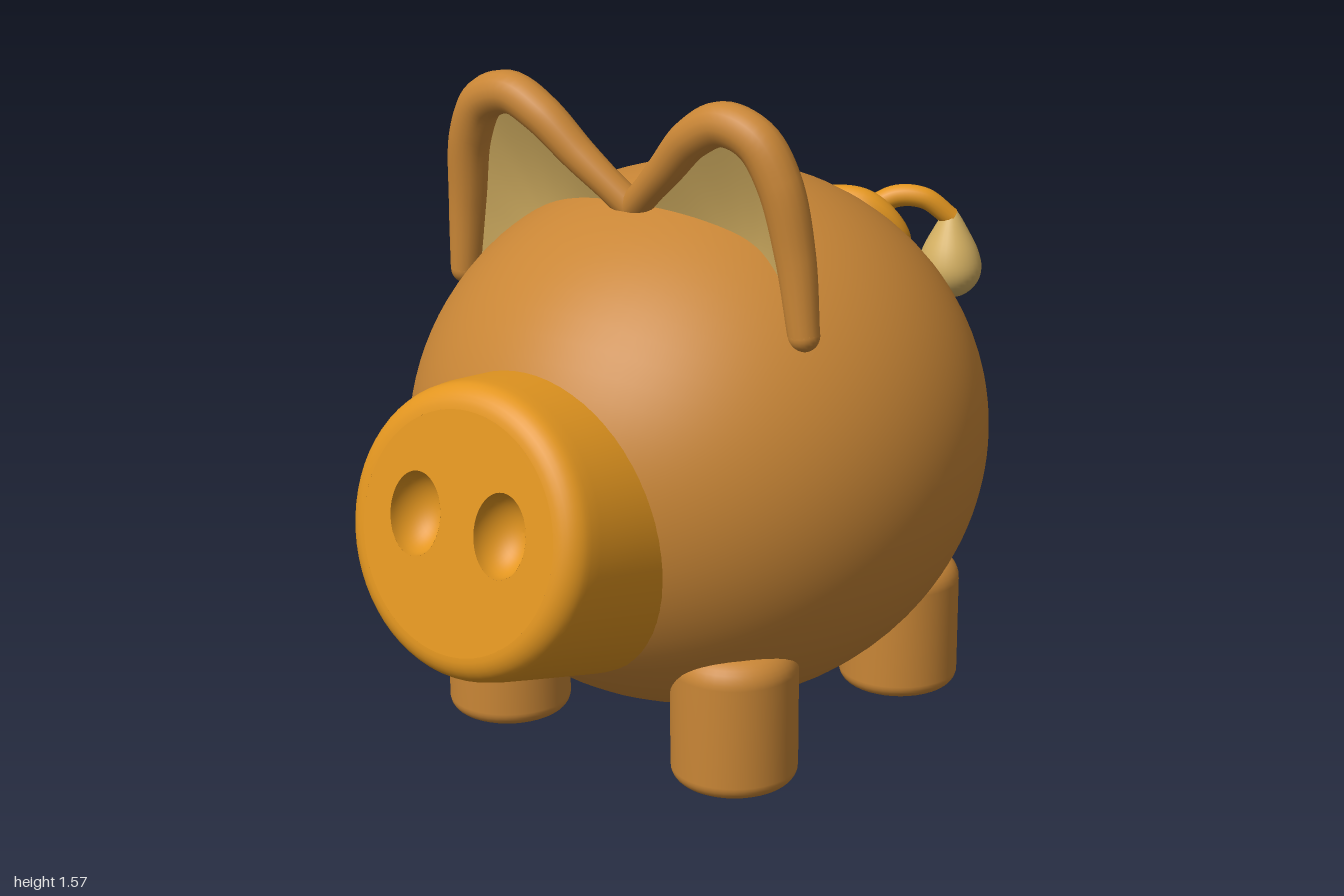
import * as THREE from 'three';

const V = (x, y, z) => new THREE.Vector3(x, y, z);
const P = (x, y) => new THREE.Vector2(x, y);
const mat = (name, color) => new THREE.MeshStandardMaterial({ name, color, side: THREE.DoubleSide });

function add(parent, name, geometry, material, x = 0, y = 0, z = 0) {
  const mesh = new THREE.Mesh(geometry, material);
  mesh.name = name;
  mesh.position.set(x, y, z);
  parent.add(mesh);
  return mesh;
}

// Points of a quarter-style arc, used to round lathe profiles
function arc(cx, cy, r, from, to, n = 8) {
  return Array.from({ length: n + 1 }, (_, i) => {
    const a = from + (to - from) * i / n;
    return P(Math.max(0, cx + r * Math.cos(a)), cy + r * Math.sin(a));
  });
}

// Tube whose radius follows a function of its length
function taperedTube(curve, segments, radius, sides = 16) {
  const geo = new THREE.TubeGeometry(curve, segments, 1, sides, false);
  const pos = geo.attributes.position, p = V(0, 0, 0);
  for (let i = 0; i < pos.count; i++) {
    const u = Math.floor(i / (sides + 1)) / segments;
    const c = curve.getPointAt(u);
    p.fromBufferAttribute(pos, i).sub(c).multiplyScalar(radius(u)).add(c);
    pos.setXYZ(i, p.x, p.y, p.z);
  }
  return geo;
}

// Smooth surface from a grid of points given by fn(u, v)
function grid(nu, nv, fn) {
  const geo = new THREE.PlaneGeometry(1, 1, nu, nv);
  const pos = geo.attributes.position;
  for (let i = 0; i < pos.count; i++) {
    const p = fn((i % (nu + 1)) / nu, Math.floor(i / (nu + 1)) / nv);
    pos.setXYZ(i, p.x, p.y, p.z);
  }
  geo.computeVertexNormals();
  return geo;
}

export function createModel() {
  const model = new THREE.Group();
  model.name = 'piggyBank';
  const skin = mat('brown skin', 0xc98636);
  const orange = mat('orange', 0xe39620);
  const tan = mat('tan', 0xd4b062);

  // Body: ellipsoid with its poles on x, so the slot is a gap in the middle band
  const R = V(0.673, 0.645, 0.72), C = V(0, 0.695, 0.07);
  const slotHalf = 0.04;
  const t = Math.acos(slotHalf / R.x);
  const bodyPart = (name, segs, phiLen, rows, t0, tLen) => {
    const geo = new THREE.SphereGeometry(1, segs, rows, 0, phiLen, t0, tLen);
    geo.rotateZ(-Math.PI / 2).scale(R.x, R.y, R.z);
    add(model, name, geo, skin, C.x, C.y, C.z);
  };
  bodyPart('bodyLeft', 72, Math.PI * 2, 28, 0, t);
  bodyPart('bodyRight', 72, Math.PI * 2, 28, Math.PI - t, t);
  bodyPart('bodyMiddle', 66, Math.PI * 11 / 6, 2, t, Math.PI - 2 * t);

  // Coin slot: inward-facing pocket whose top follows the body
  const slot = new THREE.BoxGeometry(slotHalf * 2, 0.1, 0.36, 1, 1, 12);
  slot.translate(0, 0, -0.11);
  const sp = slot.attributes.position;
  for (let i = 0; i < sp.count; i++) {
    const surface = C.y + R.y * Math.sqrt(1 - (slotHalf / R.x) ** 2 - ((sp.getZ(i) - C.z) / R.z) ** 2);
    sp.setY(i, sp.getY(i) > 0 ? surface : surface - 0.08);
  }
  const top = slot.groups[2], idx = Array.from(slot.index.array);
  idx.splice(top.start, top.count);
  slot.setIndex(idx.reverse());
  slot.clearGroups();
  slot.computeVertexNormals();
  add(model, 'coinSlot', slot, skin);

  // Snout: tilted rounded cone with two hollow nostrils
  const snout = new THREE.Group();
  snout.name = 'snout';
  snout.position.set(0, 0.69, 0.948);
  snout.rotation.x = -0.19;
  model.add(snout);
  const side = new THREE.LatheGeometry(
    [P(0.36, -0.4), P(0.343, -0.2), P(0.332, -0.08), ...arc(0.268, -0.06, 0.06, 0.08, Math.PI / 2)], 64);
  add(snout, 'snoutSide', side.rotateX(Math.PI / 2), orange);
  const face = new THREE.Shape().absarc(0, 0, 0.268, 0, Math.PI * 2);
  for (const s of [-1, 1]) {
    face.holes.push(new THREE.Path().absellipse(s * 0.12, 0.02, 0.072, 0.094, 0, Math.PI * 2));
    const bowl = new THREE.LatheGeometry(arc(0, 0, 1, 0, -Math.PI / 2, 12), 40);
    bowl.rotateX(Math.PI / 2).scale(0.072, 0.094, 0.08);
    add(snout, s > 0 ? 'leftNostril' : 'rightNostril', bowl, orange, s * 0.12, 0.02, 0);
  }
  add(snout, 'snoutFace', new THREE.ShapeGeometry(face, 40), orange);

  // Legs
  const leg = new THREE.LatheGeometry([
    P(0, 0.005), P(0.08, 0.005), ...arc(0.112, 0.04, 0.035, -Math.PI / 2, 0),
    P(0.147, 0.15), ...arc(0.087, 0.278, 0.06, 0, Math.PI / 2), P(0.04, 0.338), P(0, 0.338)], 40);
  for (const x of [-0.338, 0.338])
    for (const z of [0.398, -0.297])
      add(model, (z > 0 ? 'front' : 'back') + (x > 0 ? 'LeftLeg' : 'RightLeg'), leg, skin, x, 0, z);

  // Ears: tubular rim, convex back and a hollow tan lining
  const rim = new THREE.CatmullRomCurve3([
    V(0.487, 1.075, 0.35), V(0.468, 1.25, 0.357), V(0.437, 1.41, 0.375), V(0.385, 1.497, 0.386),
    V(0.3, 1.525, 0.39), V(0.215, 1.485, 0.385), V(0.12, 1.395, 0.362), V(0, 1.285, 0.325)]);
  const rimRadius = u => 0.036 + 0.015 * Math.sin(Math.PI * Math.min(1, u * 1.1));
  const dish = (offset, depthZ) => grid(48, 14, (u, v) => {
    const p = rim.getPointAt(u);
    return V(THREE.MathUtils.lerp(p.x, 0.27, v), THREE.MathUtils.lerp(p.y, 1.12, v),
      THREE.MathUtils.lerp(p.z + offset, depthZ, Math.sin(v * Math.PI / 2)));
  });
  for (const s of [-1, 1]) {
    const ear = new THREE.Group();
    ear.name = s > 0 ? 'leftEar' : 'rightEar';
    ear.scale.x = s;
    model.add(ear);
    add(ear, 'earRim', taperedTube(rim, 60, rimRadius), skin);
    add(ear, 'earRimEnd', new THREE.SphereGeometry(0.036, 20, 14), skin, 0.487, 1.075, 0.35);
    add(ear, 'earBack', dish(-0.04, 0.2), skin);
    add(ear, 'earLining', dish(0.0, 0.27), tan);
  }

  // Curly tail with a rounded root
  const tail = new THREE.CatmullRomCurve3([
    V(-0.12, 1.085, -0.485), V(-0.02, 1.135, -0.49), V(0.07, 1.135, -0.52), V(0.125, 1.06, -0.57),
    V(0.1, 0.96, -0.62), V(0.01, 0.905, -0.675), V(-0.08, 0.935, -0.725), V(-0.1, 1.02, -0.77),
    V(-0.04, 1.085, -0.82), V(0.03, 1.085, -0.865), V(0.085, 1.03, -0.915)]);
  add(model, 'tail', taperedTube(tail, 110, u => 0.048 - 0.022 * u), orange);
  add(model, 'tailRoot', new THREE.SphereGeometry(0.048, 20, 14), orange, -0.12, 1.085, -0.485);

  // Teardrop tuft on the tail tip
  const drop = [P(0, 0.815), P(0.04, 0.825), P(0.072, 0.855), P(0.084, 0.895),
    P(0.073, 0.945), P(0.045, 1.0), P(0.018, 1.045), P(0, 1.06)];
  add(model, 'tailTuft', new THREE.LatheGeometry(new THREE.SplineCurve(drop).getPoints(28)
    .map(p => P(Math.max(0, p.x), p.y)), 32), tan, 0.085, 0, -0.915);

  return model;
}
